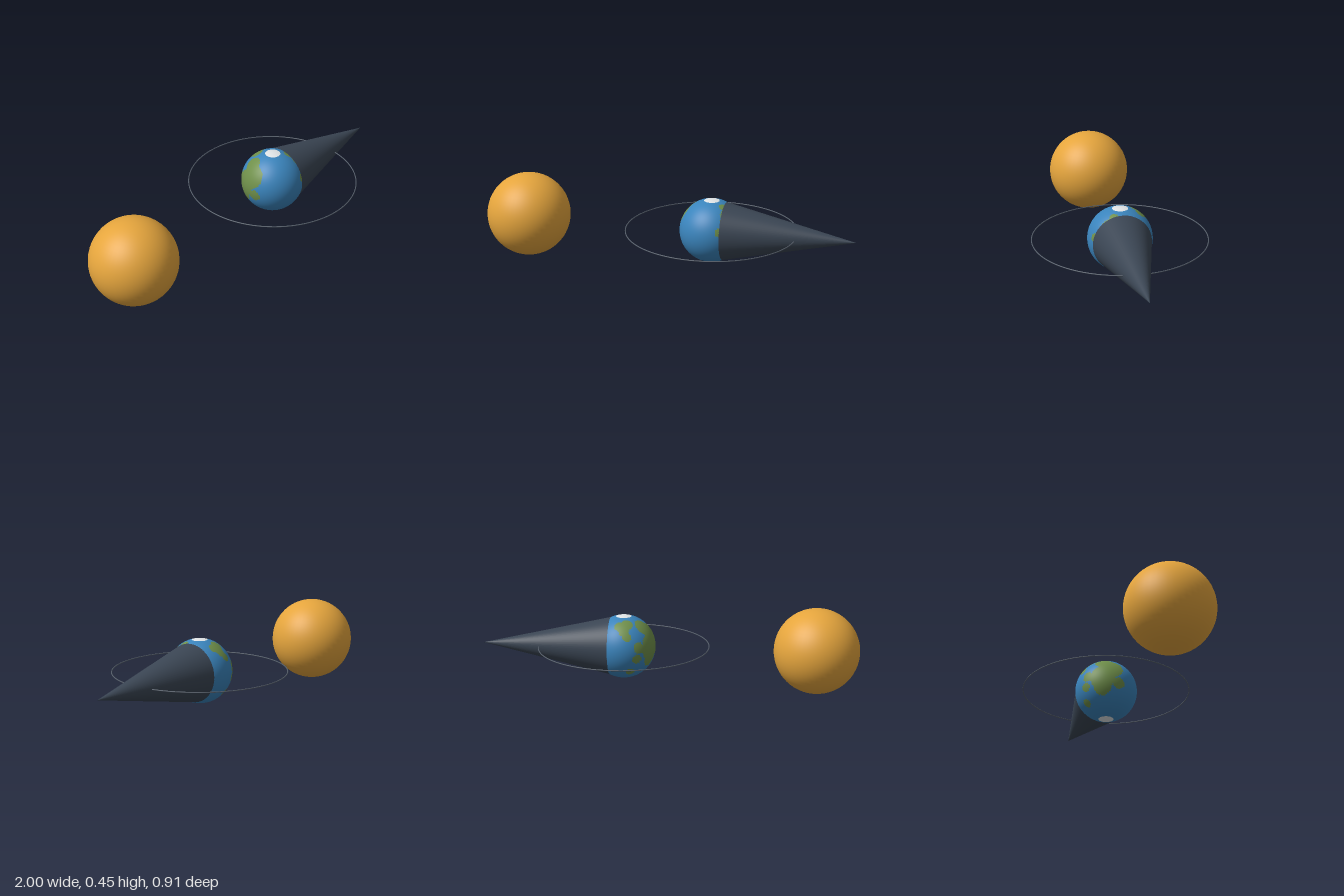
import * as THREE from 'three';

const mat = (name, color) => {
  const m = new THREE.MeshStandardMaterial({ color });
  m.name = name;
  return m;
};

// land patches: direction from the globe's centre, then angular radius in degrees
const LAND = [
  [-0.86, 0.45, -0.1, 23], [-0.9, 0.1, -0.4, 24], [-0.62, 0.7, -0.28, 16],
  [-0.88, -0.25, -0.4, 16], [-0.97, -0.1, 0.12, 11], [-0.57, 0.17, -0.8, 10],
  [-0.09, 0.68, -0.73, 10], [-0.16, 0.8, -0.5, 11], [0.04, 0.78, -0.6, 10], [-0.2, 0.5, -0.83, 8],
  [-0.51, -0.18, -0.84, 9], [-0.28, -0.63, -0.72, 8],
  [0.42, 0.25, 0.87, 8], [0.42, 0.87, 0.26, 8], [0.8, 0.5, 0.35, 29], [0.8, -0.4, 0.2, 25],
].map(([x, y, z, deg]) => ({
  dir: new THREE.Vector3(x, y, z).normalize(),
  cos: Math.cos(THREE.MathUtils.degToRad(deg)),
}));
const CAP_COS = Math.cos(THREE.MathUtils.degToRad(13.5));

// 0 ocean, 1 land, 2 ice
function surfaceAt(d) {
  if (Math.abs(d.y) > CAP_COS) return 2;
  return LAND.some((p) => p.dir.dot(d) > p.cos) ? 1 : 0;
}

// sphere whose faces are sorted into one material group per surface kind
function globeGeometry(radius) {
  const geo = new THREE.SphereGeometry(radius, 96, 64);
  const pos = geo.attributes.position;
  const idx = geo.index.array;
  const lists = [[], [], []];
  const v = new THREE.Vector3();
  const c = new THREE.Vector3();
  for (let i = 0; i < idx.length; i += 3) {
    c.set(0, 0, 0);
    for (let k = 0; k < 3; k++) c.add(v.fromBufferAttribute(pos, idx[i + k]));
    lists[surfaceAt(c.normalize())].push(idx[i], idx[i + 1], idx[i + 2]);
  }
  geo.setIndex(lists.flat());
  geo.clearGroups();
  let start = 0;
  lists.forEach((list, m) => {
    geo.addGroup(start, list.length, m);
    start += list.length;
  });
  return geo;
}

export function createModel() {
  const group = new THREE.Group();
  const Y = 0.228;
  const PLANET_X = 0.242;
  const PLANET_R = 0.168;

  const add = (name, geo, material, x) => {
    const mesh = new THREE.Mesh(geo, material);
    mesh.name = name;
    mesh.position.set(x, Y, 0);
    group.add(mesh);
    return mesh;
  };

  // sun
  add('sun', new THREE.SphereGeometry(0.225, 48, 32), mat('sun yellow', 0xe5a53d), -0.775);

  // planet with land and polar caps
  add('planet', globeGeometry(PLANET_R), [
    mat('ocean blue', 0x3a84bc),
    mat('land green', 0x6f8f4a),
    mat('ice white', 0xe8ecee),
  ], PLANET_X);

  // shadow cone, pointing away from the sun
  const length = 1 - PLANET_X;
  const cone = new THREE.ConeGeometry(PLANET_R, length, 64);
  cone.rotateZ(-Math.PI / 2);
  add('shadowCone', cone, mat('shadow slate', 0x3a4553), PLANET_X + length / 2);

  // orbit ring
  const ring = new THREE.TorusGeometry(0.452, 0.003, 8, 128);
  ring.rotateX(Math.PI / 2);
  add('orbitRing', ring, mat('orbit grey', 0x555e6a), PLANET_X);

  return group;
}
